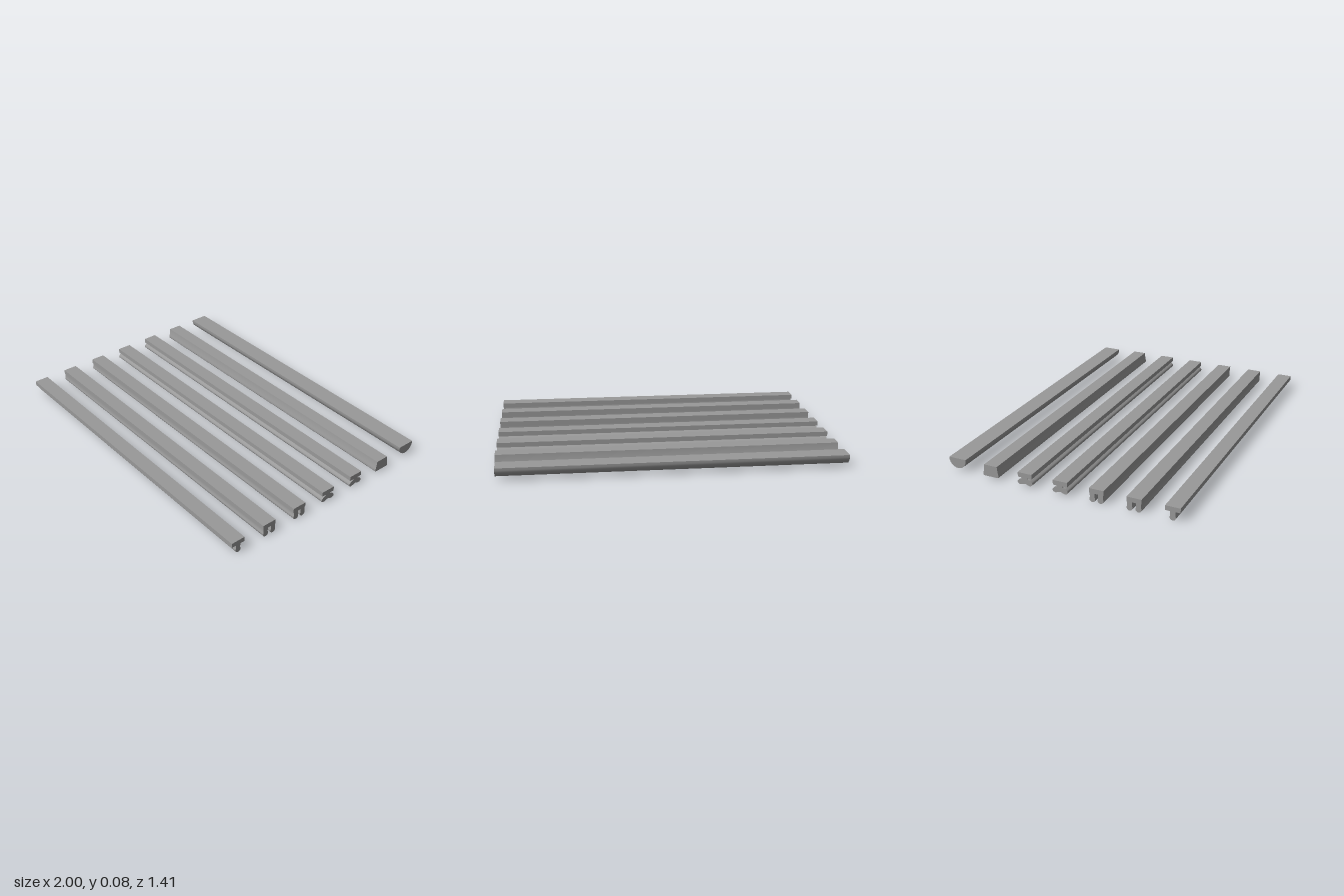
import * as THREE from 'three';
import { toCreasedNormals } from 'three/addons/utils/BufferGeometryUtils.js';

const TOP = 0.081, CAP_BOTTOM = 0.053, CAP_HALF = 0.0435;

export function createModel() {
  const group = new THREE.Group();
  const grey = new THREE.MeshStandardMaterial({ color: 0x999999 });
  grey.name = 'grey';

  // Runs a cross-section (u = -z, v = y) along x, from -length/2 to length/2
  function bar(parent, name, shape, x0 = -1, x1 = 1) {
    let g = new THREE.ExtrudeGeometry(shape, { depth: x1 - x0, bevelEnabled: false, curveSegments: 10 });
    g.rotateY(Math.PI / 2);
    g.translate(x0, 0, 0);
    g = toCreasedNormals(g, 0.7);
    const mesh = new THREE.Mesh(g, grey);
    mesh.name = name;
    parent.add(mesh);
  }

  function rect(u0, u1, v0, v1) {
    return new THREE.Shape([[u0, v0], [u1, v0], [u1, v1], [u0, v1]].map(p => new THREE.Vector2(...p)));
  }

  function beam(name, z) {
    const b = new THREE.Group();
    b.name = name;
    b.position.z = z;
    group.add(b);
    return b;
  }

  // Stem ending in a round bead
  function leg(u) {
    const s = new THREE.Shape();
    const r = 0.0175, half = 0.0145, cy = 0.0185;
    const a = Math.acos(half / r);
    s.moveTo(u - half, CAP_BOTTOM);
    s.lineTo(u - half, cy + r * Math.sin(a));
    s.absarc(u, cy, r, Math.PI - a, 2 * Math.PI + a, false);
    s.lineTo(u + half, CAP_BOTTOM);
    s.closePath();
    return s;
  }

  // Flat strips carried on one or two beaded legs
  for (const [z, legs] of [[0.664, [0]], [0.446, [-0.0255, 0.0255]], [0.2265, [-0.0245, 0.0245]]]) {
    const b = beam(legs.length === 1 ? 'singleLegStrip' : 'doubleLegStrip', z);
    bar(b, 'cap', rect(-CAP_HALF, CAP_HALF, CAP_BOTTOM, TOP));
    for (const u of legs) bar(b, 'leg', leg(u));
  }

  // Flat strips with a short neck and a wide, hollowed foot
  const half = [[0.02, 0.045], [0.037, 0.037], [0.0465, 0.025], [0.043, 0.014], [0.03, 0.0085], [0.015, 0.0125]];
  const outline = [[0, 0.048], ...half, [0, 0.017], ...half.map(([u, v]) => [-u, v]).reverse()];
  const curve = new THREE.CatmullRomCurve3(outline.map(([u, v]) => new THREE.Vector3(u, v, 0)), true);
  const foot = new THREE.Shape(curve.getPoints(44).slice(0, -1).map(p => new THREE.Vector2(p.x, p.y)));
  for (const z of [0.0075, -0.2115]) {
    const b = beam('wideFootStrip', z);
    bar(b, 'cap', rect(-CAP_HALF, CAP_HALF, CAP_BOTTOM, TOP));
    bar(b, 'neck', rect(-0.017, 0.017, 0.04, CAP_BOTTOM));
    bar(b, 'foot', foot);
  }

  // Solid tapered bar with softened bottom corners
  const taper = new THREE.Shape();
  taper.moveTo(-0.041, TOP);
  taper.lineTo(-0.046, 0.04);
  taper.quadraticCurveTo(-0.05, 0.028, -0.05, 0.021);
  taper.quadraticCurveTo(-0.05, 0.013, -0.042, 0.013);
  taper.lineTo(0.042, 0.013);
  taper.quadraticCurveTo(0.05, 0.013, 0.05, 0.021);
  taper.quadraticCurveTo(0.05, 0.028, 0.046, 0.04);
  taper.lineTo(0.041, TOP);
  taper.closePath();
  bar(beam('taperedStrip', -0.431), 'taperedBar', taper);

  // Half-round bar, flat side up
  const round = new THREE.Shape();
  round.moveTo(-0.0545, TOP);
  round.lineTo(-0.0545, 0.066);
  round.bezierCurveTo(-0.048, 0.037, -0.025, 0.02, 0, 0.02);
  round.bezierCurveTo(0.025, 0.02, 0.048, 0.037, 0.0545, 0.066);
  round.lineTo(0.0545, TOP);
  round.closePath();
  bar(beam('halfRoundStrip', -0.649), 'halfRoundBar', round, -1, 0.99);

  return group;
}
